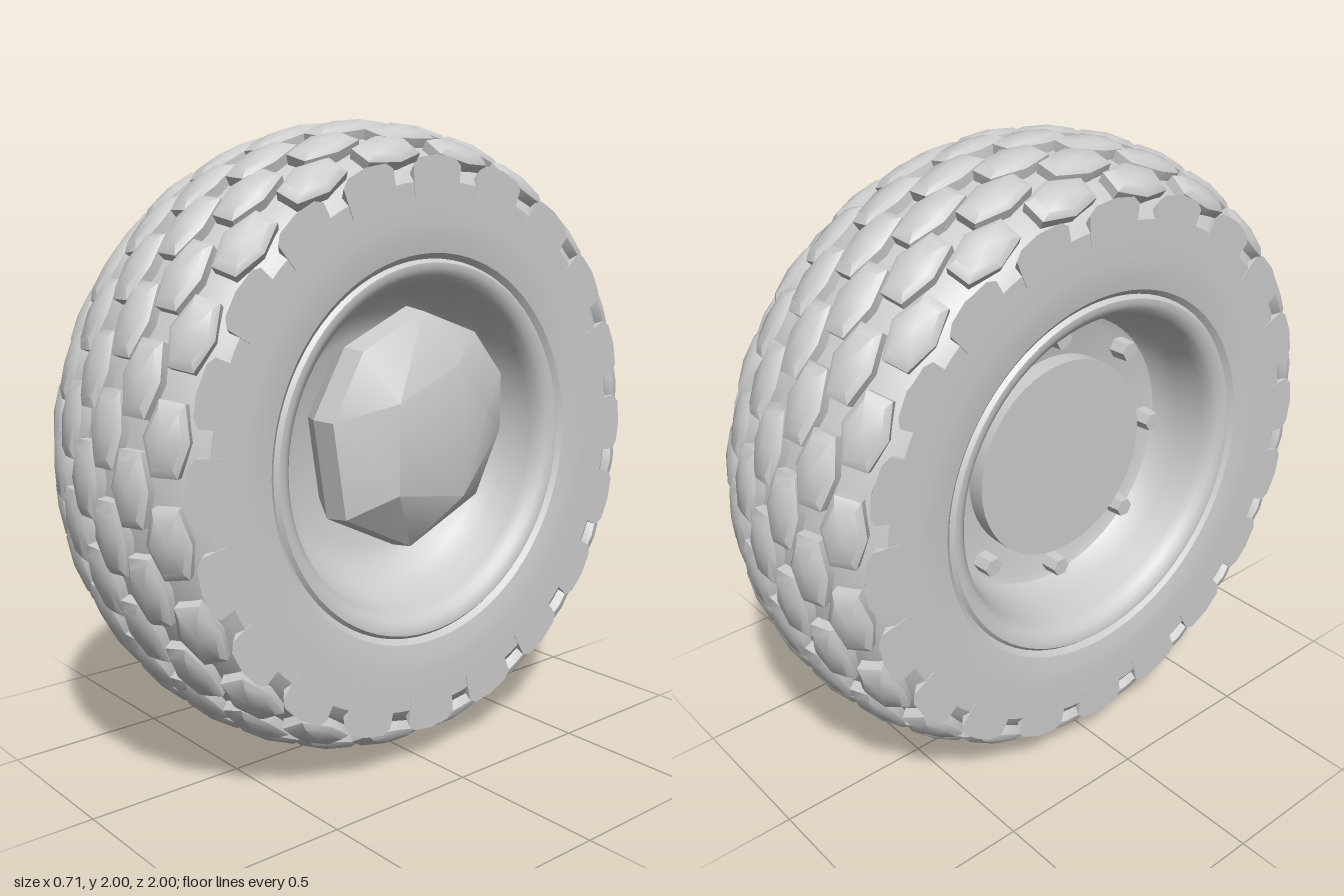
import * as THREE from 'three';
import { mergeGeometries, toCreasedNormals } from 'three/addons/utils/BufferGeometryUtils.js';
import { ConvexGeometry } from 'three/addons/geometries/ConvexGeometry.js';

const material = new THREE.MeshStandardMaterial({ color: 0xcccccc });
const A = 0.37, B = 0.2;   // half-axes of the elliptical tread section
const ARC_CENTRE = 0.752;  // its distance from the axle
const HALF_WIDTH = 0.355;
const EDGE = Math.asin(HALF_WIDTH / A);
const PER_ROW = 20;

function addMesh(parent, name, geometry) {
  const mesh = new THREE.Mesh(geometry, material);
  mesh.name = name;
  parent.add(mesh);
  return mesh;
}

// Tread section at angle t, raised along its normal: x across the tyre, y from the axle
function section(t, height) {
  const normal = new THREE.Vector2(Math.sin(t) / A, Math.cos(t) / B).normalize();
  return new THREE.Vector2(A * Math.sin(t), ARC_CENTRE + B * Math.cos(t)).addScaledVector(normal, height);
}

// Angle at which the raised section meets the sidewall plane
function sectionLimit(height) {
  let low = 0, high = Math.PI / 2;
  for (let i = 0; i < 20; i++) {
    const mid = (low + high) / 2;
    if (section(mid, height).x < HALF_WIDTH + 0.002) low = mid;
    else high = mid;
  }
  return low;
}

function treadPoint(t, theta, height) {
  const limit = sectionLimit(height);
  const p = section(THREE.MathUtils.clamp(t, -limit, limit), height);
  return [p.x, p.y * Math.sin(theta), p.y * Math.cos(theta)];
}

// One six-sided rounded block, trimmed flush with the sidewall
function treadBlock(t, theta) {
  const outline = [[0.064, 0], [0.036, 0.11], [-0.036, 0.11], [-0.064, 0], [-0.036, -0.11], [0.036, -0.11]];
  const rings = [[1, -0.012], [0.98, 0.03], [0.72, 0.043]];
  const speed = Math.hypot(A * Math.cos(t), B * Math.sin(t));
  const positions = [];
  const index = [];
  for (const [scale, height] of rings) {
    for (const [u, v] of outline) {
      positions.push(...treadPoint(t + (u * scale) / speed, theta + (v * scale) / 0.97, height));
    }
  }
  positions.push(...treadPoint(t, theta, 0.048));
  const n = outline.length;
  const top = n * rings.length;
  for (let i = 0; i < n; i++) {
    const j = (i + 1) % n;
    for (let k = 0; k < rings.length - 1; k++) {
      const a = k * n + i, b = k * n + j;
      index.push(a, b, b + n, a, b + n, a + n);
    }
    index.push(top - n + i, top - n + j, top);
  }
  const geometry = new THREE.BufferGeometry();
  geometry.setAttribute('position', new THREE.Float32BufferAttribute(positions, 3));
  geometry.setIndex(index);
  return toCreasedNormals(geometry, 0.75);
}

// Staggered rows of blocks around the tyre
function treadGeometry() {
  const rowAngles = [0, 14.5, 30, 49, 77];
  const blocks = [];
  const step = (Math.PI * 2) / PER_ROW;
  for (let row = -4; row <= 4; row++) {
    const t = Math.sign(row) * THREE.MathUtils.degToRad(rowAngles[Math.abs(row)]);
    const offset = row % 2 ? 0.5 : 0;
    for (let i = 0; i < PER_ROW; i++) blocks.push(treadBlock(t, (i + offset) * step));
  }
  return mergeGeometries(blocks);
}

// Sidewall and rim, listed as [radius, distance from the middle] from the tyre inwards
const SIDE = [[0.7, 0.355], [0.65, 0.353], [0.6, 0.345], [0.583, 0.33], [0.572, 0.342],
  [0.555, 0.342], [0.535, 0.33], [0.52, 0.315], [0.51, 0.28]];
const OUTER_BOWL = [[0.49, 0.2], [0.455, 0.14], [0.41, 0.09], [0.34, 0.06], [0, 0.05]];
const INNER_BOWL = [[0.49, 0.2], [0.475, 0.14], [0.455, 0.11], [0.43, 0.1], [0, 0.1]];

function tyreGeometry() {
  const profile = [...SIDE, ...INNER_BOWL].reverse().map(([r, x]) => new THREE.Vector2(r, -x));
  for (let i = 0; i <= 20; i++) {
    const p = section(EDGE * (i / 10 - 1), 0);
    profile.push(new THREE.Vector2(p.y, p.x));
  }
  for (const [r, x] of [...SIDE, ...OUTER_BOWL]) profile.push(new THREE.Vector2(r, x));
  const geometry = new THREE.LatheGeometry(profile, 80);
  geometry.rotateZ(-Math.PI / 2);
  return toCreasedNormals(geometry, 0.55);
}

// Irregular faceted hub dome: outlines given as [z, y] about the axle
function hubGeometry() {
  const face = [[0.12, 0.16], [-0.12, 0.255], [-0.25, 0.09], [-0.15, -0.16], [0.12, -0.12]];
  const rim = [[-0.06, 0.43], [-0.29, 0.35], [-0.42, 0.2], [-0.42, 0.01], [-0.31, -0.2],
    [-0.01, -0.33], [0.26, -0.2], [0.31, 0.11], [0.19, 0.32]];
  const layers = [[0.24, 0.97], [0.16, 1], [0.03, 0.8]]; // distance out, scale of the rim
  const points = face.map(([z, y]) => new THREE.Vector3(0.335, y, z));
  for (const [x, scale] of layers) {
    for (const [z, y] of rim) {
      points.push(new THREE.Vector3(x, 0.05 + (y - 0.05) * scale, -0.06 + (z + 0.06) * scale));
    }
  }
  return toCreasedNormals(new ConvexGeometry(points), 0.5);
}

export function createModel() {
  const model = new THREE.Group();
  model.name = 'wheel';
  const wheel = new THREE.Group();
  wheel.name = 'wheelAssembly';
  wheel.position.y = 1;
  model.add(wheel);

  addMesh(wheel, 'tyreAndRim', tyreGeometry());
  addMesh(wheel, 'treadBlocks', treadGeometry());
  addMesh(wheel, 'hubDome', hubGeometry());

  // Flat hub plate and its ring of bolts on the other side
  const plate = toCreasedNormals(new THREE.CylinderGeometry(0.33, 0.33, 0.08, 48).rotateZ(Math.PI / 2), 0.5);
  addMesh(wheel, 'hubPlate', plate).position.x = -0.12;
  const bolt = toCreasedNormals(new THREE.CylinderGeometry(0.032, 0.036, 0.07, 6).rotateZ(Math.PI / 2), 0.5);
  for (let i = 0; i < 8; i++) {
    const angle = (i * Math.PI) / 4;
    addMesh(wheel, 'bolt', bolt).position.set(-0.125, 0.405 * Math.sin(angle), 0.405 * Math.cos(angle));
  }
  return model;
}
